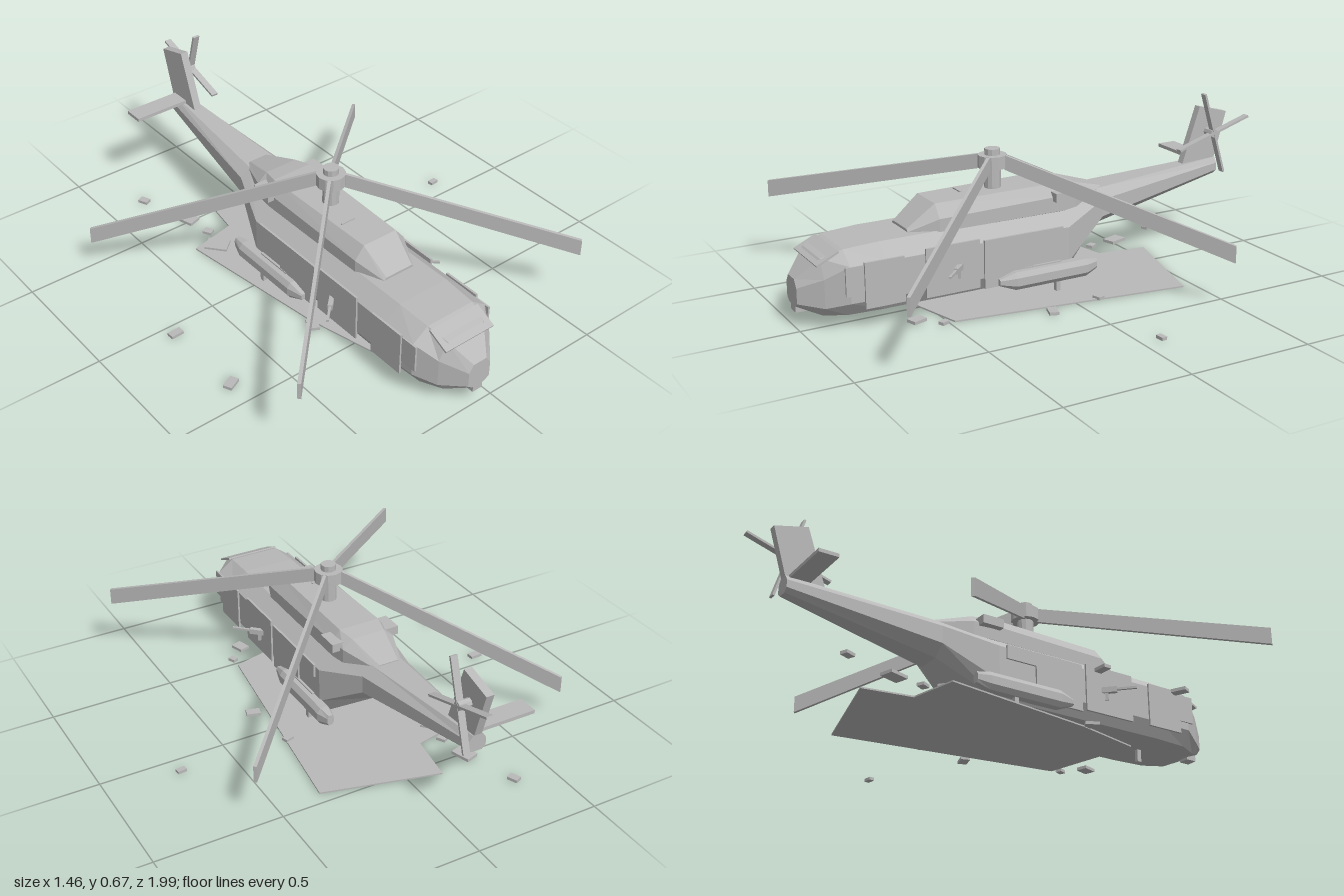
import * as THREE from 'three';

const grey = new THREE.MeshStandardMaterial({ color: 0xb9b9b9, flatShading: true });
grey.name = 'plain grey';

function add(parent, name, geometry, x = 0, y = 0, z = 0) {
  const mesh = new THREE.Mesh(geometry, grey);
  mesh.name = name;
  mesh.position.set(x, y, z);
  parent.add(mesh);
  return mesh;
}

const box = (w, h, d) => new THREE.BoxGeometry(w, h, d);

// Octagonal loft, front to back; section = [z, halfWidth, halfTop, halfBottom, y0, y1, y2, y3]
function loft(sections) {
  const rings = sections.map(([z, w, t, b, y0, y1, y2, y3]) =>
    [[b, y0], [w, y1], [w, y2], [t, y3], [-t, y3], [-w, y2], [-w, y1], [-b, y0]].map(([x, y]) => [x, y, z]));
  const pos = [];
  const tri = (...points) => points.forEach(p => pos.push(...p));
  for (let i = 0; i < rings.length - 1; i++) {
    for (let j = 0; j < 8; j++) {
      const k = (j + 1) % 8;
      const a = rings[i][j], b = rings[i][k], c = rings[i + 1][k], d = rings[i + 1][j];
      tri(a, d, b);
      tri(b, d, c);
    }
  }
  const first = rings[0], last = rings[rings.length - 1];
  for (let j = 1; j < 7; j++) {
    tri(first[0], first[j], first[j + 1]);
    tri(last[0], last[j + 1], last[j]);
  }
  const geometry = new THREE.BufferGeometry();
  geometry.setAttribute('position', new THREE.Float32BufferAttribute(pos, 3));
  geometry.computeVertexNormals();
  return geometry;
}

// Flat slab from an outline, centred on its thickness
function slab(points, depth) {
  const shape = new THREE.Shape(points.map(([x, y]) => new THREE.Vector2(x, y)));
  return new THREE.ExtrudeGeometry(shape, { depth, bevelEnabled: false }).translate(0, 0, -depth / 2);
}

export function createModel() {
  const model = new THREE.Group();
  model.name = 'helicopterScene';
  const heli = new THREE.Group();
  heli.name = 'helicopter';
  heli.position.x = -0.066;
  model.add(heli);

  // Fuselage with tail boom
  add(heli, 'fuselage', loft([
    [1.0, 0.05, 0.03, 0.03, 0.085, 0.1, 0.16, 0.19],
    [0.92, 0.12, 0.085, 0.09, 0.055, 0.09, 0.2, 0.27],
    [0.84, 0.17, 0.105, 0.13, 0.055, 0.11, 0.25, 0.297],
    [0.7, 0.175, 0.11, 0.14, 0.055, 0.11, 0.25, 0.305],
    [-0.06, 0.175, 0.11, 0.14, 0.055, 0.11, 0.25, 0.305],
    [-0.26, 0.1, 0.06, 0.05, 0.2, 0.24, 0.31, 0.347],
    [-0.86, 0.035, 0.02, 0.02, 0.315, 0.33, 0.36, 0.382],
  ]));

  // Engine housing on the roof
  add(heli, 'engineHousing', loft([
    [0.57, 0.07, 0.06, 0.07, 0.29, 0.295, 0.305, 0.315],
    [0.46, 0.115, 0.075, 0.11, 0.29, 0.3, 0.35, 0.4],
    [-0.06, 0.118, 0.085, 0.11, 0.29, 0.3, 0.36, 0.405],
    [-0.13, 0.11, 0.07, 0.1, 0.29, 0.3, 0.36, 0.395],
    [-0.28, 0.055, 0.04, 0.05, 0.29, 0.3, 0.34, 0.352],
  ]));

  // Windscreen and nose sensor
  const screen = add(heli, 'windscreen', box(0.225, 0.008, 0.095), 0, 0.272, 0.9);
  screen.rotation.x = 0.45;
  add(heli, 'noseSensor', box(0.045, 0.045, 0.045), 0, 0.08, 0.975);
  add(heli, 'roofStep', box(0.06, 0.008, 0.008), -0.03, 0.402, 0.315);

  // Parts that sit on both sides
  for (const s of [1, -1]) {
    // [name, z, y, length, height]
    const panels = [
      ['cockpitDoor', 0.712, 0.172, 0.155, 0.175],
      ['slidingDoor', 0.44, 0.175, 0.22, 0.19],
      ['cabinPanel', 0.205, 0.165, 0.21, 0.19],
      ['rearWindow', 0.035, 0.232, 0.13, 0.055],
    ];
    for (const [name, z, y, length, height] of panels) {
      add(heli, name, box(0.009, height, length), s * 0.178, y, z);
    }
    add(heli, 'cockpitSideWindow', box(0.008, 0.11, 0.07), s * 0.172, 0.195, 0.825);
    add(heli, 'sidePod', loft([
      [0.255, 0.012, 0.008, 0.008, 0.075, 0.08, 0.095, 0.1],
      [0.19, 0.03, 0.016, 0.016, 0.05, 0.068, 0.1, 0.12],
      [-0.12, 0.03, 0.016, 0.016, 0.05, 0.068, 0.1, 0.12],
      [-0.172, 0.014, 0.008, 0.008, 0.07, 0.08, 0.1, 0.112],
    ]), s * 0.188);
    add(heli, 'podMount', box(0.03, 0.05, 0.16), s * 0.17, 0.1, 0.06);
    add(heli, 'mainGearLeg', box(0.018, 0.05, 0.018), s * 0.188, 0.034, 0);
    add(heli, 'engineExhaust', box(0.06, 0.035, 0.09), s * 0.115, 0.363, -0.065);

    // Door gun, swung forward and out
    const gun = new THREE.Group();
    gun.name = 'doorGun';
    gun.position.set(s * 0.19, 0.177, 0.42);
    gun.rotation.y = s * 0.8;
    heli.add(gun);
    add(gun, 'gunBody', box(0.018, 0.022, 0.06), 0, 0, 0.01);
    add(gun, 'gunBarrel', box(0.009, 0.009, 0.09), 0, 0.002, 0.07);
    add(gun, 'gunStand', box(0.008, 0.045, 0.012), 0, -0.018, 0);
  }
  add(heli, 'noseGearLeg', box(0.016, 0.055, 0.018), 0, 0.032, 0.715);

  // Tail fin, stabilizer and tail rotor
  const fin = slab([[-0.7, 0.37], [-0.855, 0.365], [-0.915, 0.57], [-0.78, 0.605]], 0.032);
  add(heli, 'tailFin', fin.rotateY(-Math.PI / 2));
  add(heli, 'stabilizer', box(0.25, 0.014, 0.08), -0.124, 0.383, -0.805);
  const tailRotor = new THREE.Group();
  tailRotor.name = 'tailRotor';
  tailRotor.position.set(0.055, 0.497, -0.822);
  heli.add(tailRotor);
  add(tailRotor, 'tailRotorHub', new THREE.CylinderGeometry(0.018, 0.018, 0.06, 8).rotateZ(Math.PI / 2), -0.018);
  for (let i = 0; i < 4; i++) {
    const blade = add(tailRotor, 'tailRotorBlade', box(0.028, 0.178, 0.009).translate(0, 0.089, 0));
    blade.rotation.x = 0.3 + i * Math.PI / 2;
  }

  // Main rotor with drooping blades
  const rotor = new THREE.Group();
  rotor.name = 'mainRotor';
  rotor.position.z = 0.178;
  heli.add(rotor);
  add(rotor, 'mast', new THREE.CylinderGeometry(0.032, 0.032, 0.13, 12), 0, 0.44);
  add(rotor, 'hub', new THREE.CylinderGeometry(0.056, 0.056, 0.05, 12), 0, 0.507);
  add(rotor, 'hubCap', new THREE.CylinderGeometry(0.03, 0.03, 0.026, 12), 0, 0.543);
  // [x direction, z direction, tip bottom height]
  for (const [dx, dz, tip] of [[-1, 1, 0.29], [1, 1, 0.236], [-1, -1, 0.125], [1, -1, 0.18]]) {
    const outline = [[0.05, 0.475], [0.938, tip], [0.938, tip + 0.067], [0.05, 0.532]];
    add(rotor, 'rotorBlade', slab(outline, 0.013)).rotation.y = Math.atan2(-dz, dx);
  }

  // Ground slab, outline as [x, z]
  const ground = [[0.2, 0.48], [0.325, -0.45], [-0.13, -0.57], [-0.16, -0.37],
    [-0.352, -0.328], [-0.26, 0.3], [-0.19, 0.58]].map(([x, z]) => [x, -z]);
  add(model, 'groundSlab', slab(ground, 0.006).rotateX(-Math.PI / 2), 0, 0.004);

  // Scattered rubble: [x, z, width, depth, turn]
  const rubble = [
    [-0.34, -0.73, 0.03, 0.042, 0.4], [-0.267, -0.513, 0.055, 0.08, 0.3], [-0.25, -0.387, 0.03, 0.037, 0.5],
    [-0.272, -0.29, 0.065, 0.09, 0.7], [-0.702, 0.053, 0.052, 0.03, 0.05], [-0.696, 0.398, 0.055, 0.035, 0.45],
    [0.708, -0.08, 0.036, 0.022, 0.1], [0.267, -0.095, 0.037, 0.027, 0.3], [0.305, 0.128, 0.055, 0.036, -0.3],
    [0.2, 0.525, 0.025, 0.032, 0.4], [0.13, 0.6, 0.045, 0.058, 0.3], [-0.272, 0.33, 0.045, 0.055, -0.5],
  ];
  for (const [x, z, w, d, turn] of rubble) {
    add(model, 'rubble', box(w, 0.012, d), x, 0.01, z).rotation.y = turn;
  }
  return model;
}
